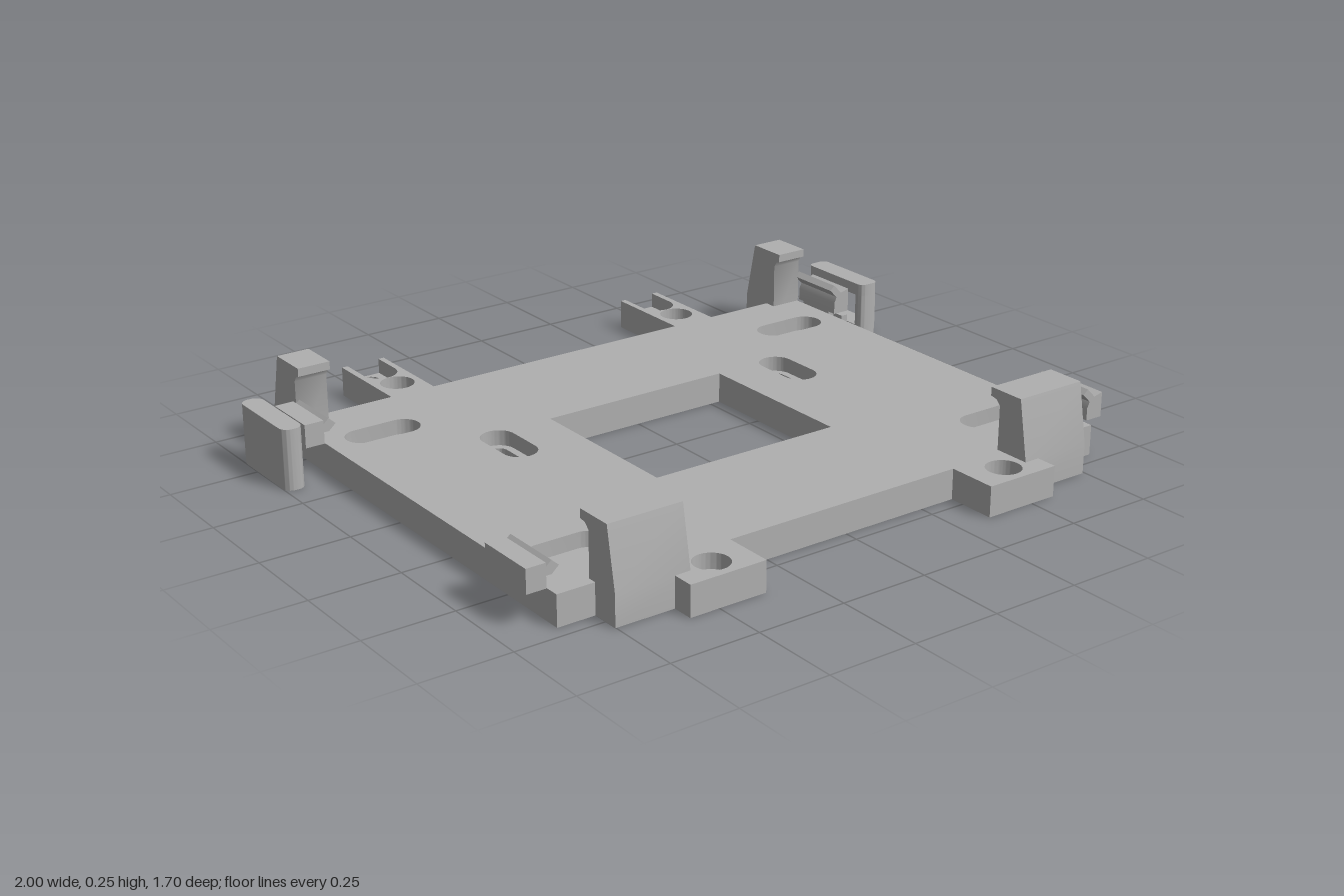
import * as THREE from 'three';
import { toCreasedNormals } from 'three/addons/utils/BufferGeometryUtils.js';

export function createModel() {
  const model = new THREE.Group();
  model.name = 'mountingBracket';
  const grey = new THREE.MeshStandardMaterial({ color: 0xb0b0b0 });
  grey.name = 'plasticGrey';

  const toShape = (pts) => new THREE.Shape(pts.map(([x, y]) => new THREE.Vector2(x, y)));
  const extrude = (shape, depth) =>
    new THREE.ExtrudeGeometry(shape, { depth, bevelEnabled: false, curveSegments: 10 });
  function add(name, geometry, parent = model) {
    const mesh = new THREE.Mesh(toCreasedNormals(geometry, 0.6), grey);
    mesh.name = name;
    parent.add(mesh);
    return mesh;
  }
  // Plan shape (x, -z) raised from y0 to y1
  const slab = (shape, y0, y1) => extrude(shape, y1 - y0).rotateX(-Math.PI / 2).translate(0, y0, 0);
  // Side profile (z, y) spanning x0 to x1
  const alongX = (pts, x0, x1) => extrude(toShape(pts), x1 - x0).rotateY(-Math.PI / 2).translate(x1, 0, 0);
  // Front profile (x, y) spanning z0 to z1
  const alongZ = (pts, z0, z1) => extrude(toShape(pts), z1 - z0).translate(0, 0, z0);

  // Slot or round hole: half lengths a (x) and b (z) of the straight part, radius r
  function slotHole(x, z, a, b, r) {
    const path = new THREE.Path();
    const ends = [[1, 1], [-1, 1], [-1, -1], [1, -1]];
    ends.forEach(([sx, sz], i) =>
      path.absarc(x + sx * a, -z + sz * b, r, i * Math.PI / 2, (i + 1) * Math.PI / 2, false));
    path.closePath();
    return path;
  }

  // Base plate: narrow holes in the lower layer, wide counterbores in the upper one
  const base = new THREE.Group();
  base.name = 'base';
  base.position.x = -0.004;
  model.add(base);

  function plateShape(upper) {
    const notch = [];
    if (upper) {
      notch.push([0.532, 0.85]);
      for (let i = 0; i <= 12; i++) {
        const t = -Math.PI * i / 12;
        notch.push([0.482 + 0.05 * Math.cos(t), 0.755 + 0.05 * Math.sin(t)]);
      }
      notch.push([0.432, 0.85]);
    }
    const half = [
      [0.358, -0.71], [0.358, -0.85], [0.58, -0.85], [0.58, -0.71], [0.854, -0.71],
      [0.854, 0.57], [0.55, 0.57], [0.55, 0.85], ...notch, [0.415, 0.85], [0.415, 0.57],
    ];
    const shape = toShape([...half, ...half.map(([x, y]) => [-x, y]).reverse()]);
    const r = upper ? 0.048 : 0.027;
    for (const s of [-1, 1]) {
      shape.holes.push(
        slotHole(s * 0.69, -0.37, 0.06, 0, r),
        slotHole(s * 0.69, 0.51, 0.06, 0, r),
        slotHole(s * 0.467, -0.1, 0, 0.053, r),
        slotHole(s * 0.482, -0.655, 0, 0, r),
        slotHole(s * 0.467, 0.78, 0, 0, r));
      if (!upper) shape.holes.push(slotHole(s * 0.482, -0.787, 0, 0.028, r));
    }
    // Central window
    shape.holes.push(new THREE.Path([[-0.285, 0.18], [0.285, 0.18], [0.285, -0.31], [-0.285, -0.31]]
      .map(([x, y]) => new THREE.Vector2(x, y))));
    return shape;
  }
  add('lowerPlate', slab(plateShape(false), 0, 0.042), base);
  add('upperPlate', slab(plateShape(true), 0.042, 0.085), base);

  // Hooked clips at the front and back edges
  const frontProfile = [[0.686, 0], [0.79, 0], [0.79, 0.085], [0.76, 0.25], [0.652, 0.25],
    [0.652, 0.226], [0.672, 0.222], [0.686, 0.208]];
  const backProfile = [[-0.535, 0], [-0.535, 0.212], [-0.525, 0.228], [-0.512, 0.232], [-0.512, 0.255],
    [-0.63, 0.255], [-0.668, 0.085], [-0.668, 0]];
  for (const s of [-1, 1]) {
    const side = s > 0 ? 'left' : 'right';
    const span = (a, b) => (s > 0 ? [a, b] : [-b, -a]);
    add(side + 'FrontClip', alongX(frontProfile, ...span(0.535, 0.748)), base);
    add(side + 'BackClip', alongX(backProfile, ...span(0.762, 0.856)), base);
  }

  // Side catches: pointed ridge on -x, raised slanted ridge on +x
  const rightCatch = [[-0.92, 0.09], [-0.865, 0.09], [-0.865, 0.122], [-0.85, 0.122], [-0.83, 0.14],
    [-0.85, 0.158], [-0.865, 0.145], [-0.865, 0.155], [-0.92, 0.155]];
  const leftCatch = [[0.862, 0.085], [0.915, 0.085], [0.915, 0.155], [0.887, 0.148], [0.86, 0.175],
    [0.845, 0.162], [0.87, 0.137], [0.862, 0.12]];
  for (const [name, z0, z1] of [['Front', 0.507, 0.68], ['Back', -0.54, -0.373]]) {
    add('right' + name + 'Catch', alongZ(rightCatch, z0, z1));
    add('left' + name + 'Catch', alongZ(leftCatch, z0, z1));
  }

  // Lever bodies, rounded in plan
  function rounded(x0, x1, z0, z1, r) {
    const hole = slotHole((x0 + x1) / 2, (z0 + z1) / 2, (x1 - x0) / 2 - r, (z1 - z0) / 2 - r, r);
    return new THREE.Shape(hole.getPoints(8));
  }
  add('rightLever', slab(rounded(-1, -0.94, -0.588, -0.335, 0.026), 0, 0.17));

  // Left lever is a frame around an open window
  const lever = new THREE.Group();
  lever.name = 'leftLever';
  model.add(lever);
  const full = rounded(0.935, 1, -0.588, -0.335, 0.02);
  add('leverBottom', slab(full, 0, 0.04), lever);
  add('leverTop', slab(full, 0.135, 0.17), lever);
  add('leverBackPost', slab(rounded(0.935, 1, -0.588, -0.53, 0.02), 0.04, 0.135), lever);
  add('leverFrontPost', slab(rounded(0.935, 1, -0.373, -0.335, 0.018), 0.04, 0.135), lever);

  // Cradle linking the catch to the lever
  const cradle = [[0.862, 0.02], [0.937, 0.02], [0.937, 0.06], [0.915, 0.06], [0.915, 0.04],
    [0.882, 0.04], [0.882, 0.09], [0.862, 0.09]];
  add('leverCradle', alongZ(cradle, -0.52, -0.4));

  return model;
}
